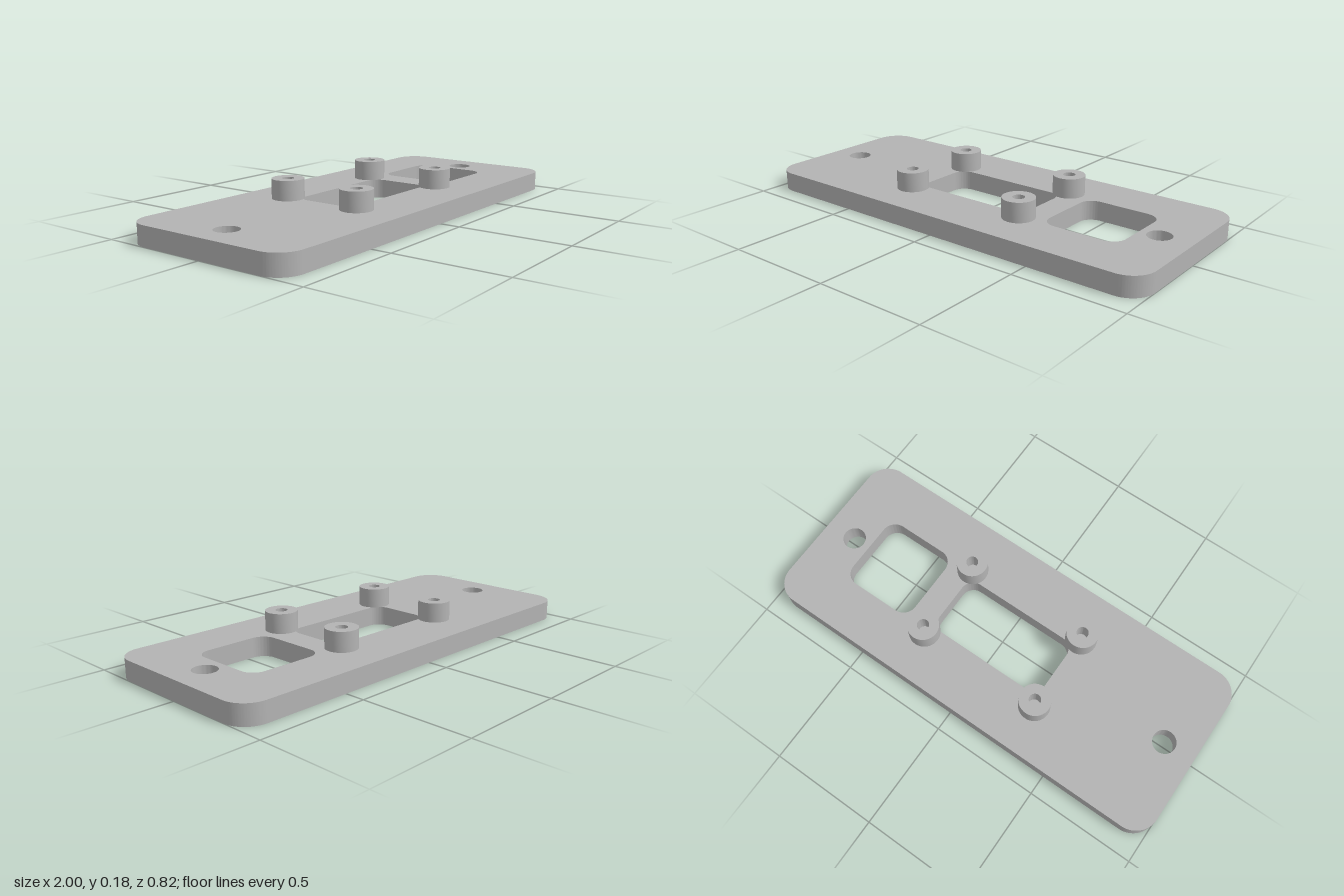
import * as THREE from 'three';
import { toCreasedNormals } from 'three/addons/utils/BufferGeometryUtils.js';

const PLATE_H = 0.088, POST_H = 0.089;

// Rounded rectangle centred on (cx, cy)
function roundedRect(path, cx, cy, w, h, r) {
  const x = w / 2 - r, y = h / 2 - r;
  path.moveTo(cx + x + r, cy - y);
  path.absarc(cx + x, cy + y, r, 0, Math.PI / 2);
  path.absarc(cx - x, cy + y, r, Math.PI / 2, Math.PI);
  path.absarc(cx - x, cy - y, r, Math.PI, Math.PI * 1.5);
  path.absarc(cx + x, cy - y, r, Math.PI * 1.5, Math.PI * 2);
  return path;
}

function circle(path, cx, cy, r) {
  path.absarc(cx, cy, r, 0, Math.PI * 2);
  return path;
}

// Extrude a plan outline upwards, smooth on curves and sharp on edges
function slab(shape, height) {
  const geo = new THREE.ExtrudeGeometry(shape, { depth: height, bevelEnabled: false, curveSegments: 20 });
  geo.rotateX(-Math.PI / 2);
  return toCreasedNormals(geo, Math.PI / 6);
}

export function createModel() {
  const group = new THREE.Group();
  const grey = new THREE.MeshStandardMaterial({ color: 0xb3b3b3 });
  grey.name = 'grey';

  // Base plate with two windows and two mounting holes
  const outline = roundedRect(new THREE.Shape(), 0, 0, 2, 0.82, 0.11);
  outline.holes.push(
    roundedRect(new THREE.Path(), 0, 0, 0.576, 0.292, 0.06),
    roundedRect(new THREE.Path(), 0.588, 0, 0.36, 0.36, 0.065),
    circle(new THREE.Path(), -0.853, 0, 0.053),
    circle(new THREE.Path(), 0.853, 0, 0.053),
  );
  const plate = new THREE.Mesh(slab(outline, PLATE_H), grey);
  plate.name = 'basePlate';
  group.add(plate);

  // Four hollow standoffs around the larger window
  const ring = circle(new THREE.Shape(), 0, 0, 0.072);
  ring.holes.push(circle(new THREE.Path(), 0, 0, 0.027));
  const postGeo = slab(ring, POST_H);
  for (const x of [-0.3, 0.3]) {
    for (const z of [-0.187, 0.187]) {
      const post = new THREE.Mesh(postGeo, grey);
      post.name = `${z > 0 ? 'front' : 'back'}${x > 0 ? 'Left' : 'Right'}Standoff`;
      post.position.set(x, PLATE_H, z);
      group.add(post);
    }
  }
  return group;
}
